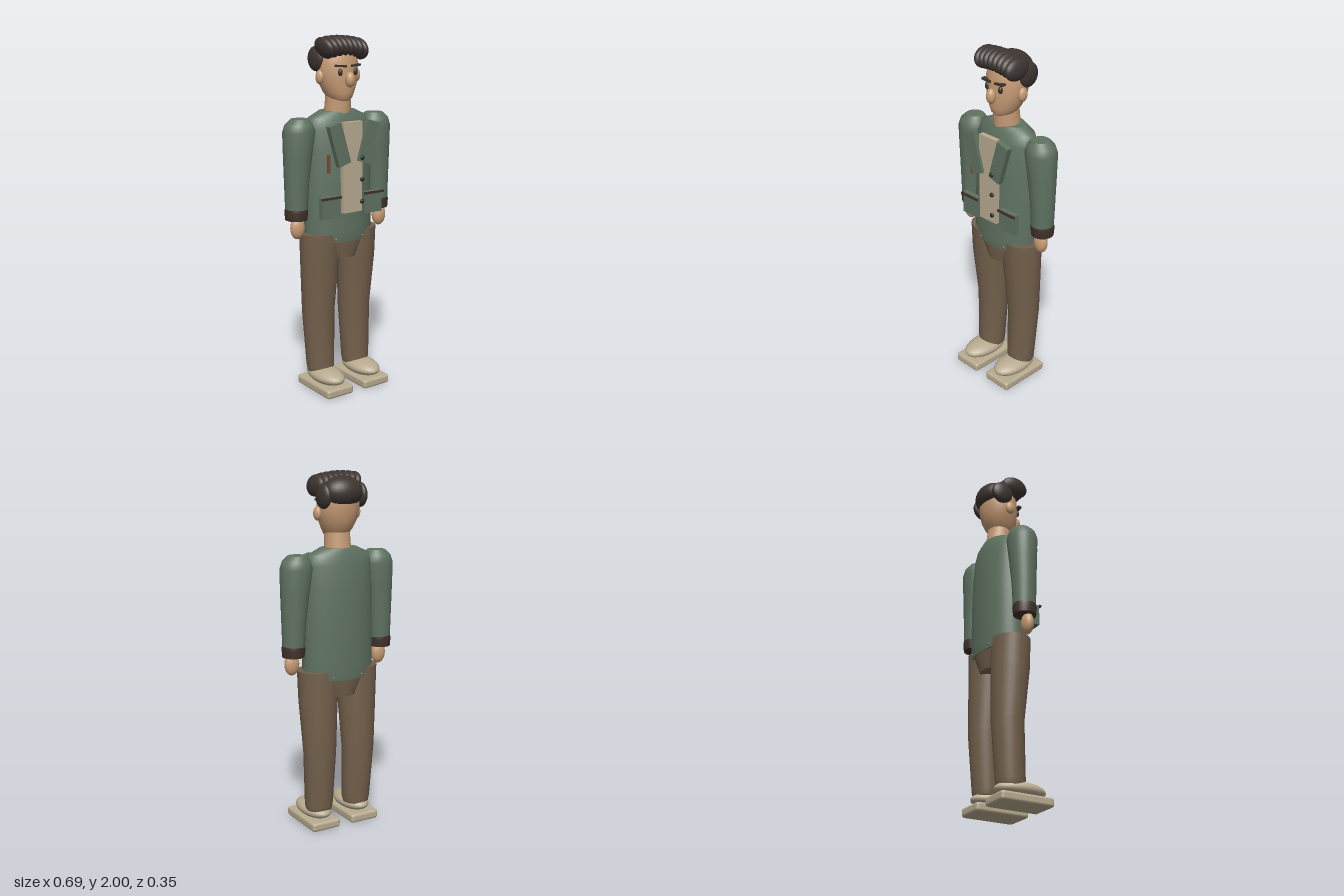
import * as THREE from 'three';
import { RoundedBoxGeometry } from 'three/addons/geometries/RoundedBoxGeometry.js';

const mat = (name, color) => {
  const m = new THREE.MeshStandardMaterial({ color });
  m.name = name;
  return m;
};

// Stack of elliptical rings [y, rx, rz, cx, cz], closed at both ends
function loft(rings, seg = 32) {
  const pos = [], idx = [];
  const addRing = ([y, rx, rz, cx = 0, cz = 0]) => {
    const start = pos.length / 3;
    for (let i = 0; i < seg; i++) {
      const a = (i / seg) * Math.PI * 2;
      pos.push(cx + Math.cos(a) * rx, y, cz + Math.sin(a) * rz);
    }
    return start;
  };
  const starts = rings.map(addRing);
  for (let r = 0; r < rings.length - 1; r++) {
    for (let i = 0; i < seg; i++) {
      const j = (i + 1) % seg, a = starts[r], b = starts[r + 1];
      idx.push(a + i, b + i, a + j, a + j, b + i, b + j);
    }
  }
  // caps have their own vertices so the rims stay sharp
  for (const top of [false, true]) {
    const ring = rings[top ? rings.length - 1 : 0];
    const s = addRing(ring), c = pos.length / 3;
    pos.push(ring[3] || 0, ring[0], ring[4] || 0);
    for (let i = 0; i < seg; i++) {
      const j = (i + 1) % seg;
      if (top) idx.push(c, s + j, s + i);
      else idx.push(c, s + i, s + j);
    }
  }
  const g = new THREE.BufferGeometry();
  g.setAttribute('position', new THREE.Float32BufferAttribute(pos, 3));
  g.setIndex(idx);
  g.computeVertexNormals();
  return g;
}

export function createModel() {
  const model = new THREE.Group();
  model.name = 'standingMan';
  const green = mat('jacket green', 0x5f7261);
  const brown = mat('trouser brown', 0x73604c);
  const cream = mat('cream', 0xb8ab90);
  const skin = mat('skin', 0xc79c75);
  const hair = mat('hair', 0x3d3530);
  const trim = mat('dark trim', 0x3f3129);
  const rust = mat('rust', 0x7d4c34);
  const black = mat('button black', 0x272826);
  const brass = mat('brass', 0x8c7a50);

  const add = (name, geo, material, x = 0, y = 0, z = 0) => {
    const m = new THREE.Mesh(geo, material);
    m.name = name;
    m.position.set(x, y, z);
    model.add(m);
    return m;
  };
  const ball = (name, material, [x, y, z], [rx, ry, rz]) =>
    add(name, new THREE.SphereGeometry(1, 28, 18).scale(rx, ry, rz), material, x, y, z);
  const box = (name, material, [x, y, z], [w, h, d]) =>
    add(name, new THREE.BoxGeometry(w, h, d), material, x, y, z);

  // Torso and pelvis
  add('jacketBody', loft([
    [0.87, 0.2, 0.122, 0, -0.038], [0.93, 0.213, 0.128, 0, -0.037], [1.2, 0.208, 0.126, 0, -0.039],
    [1.38, 0.205, 0.12, 0, -0.04], [1.5, 0.2, 0.103, 0, -0.043],
    [1.555, 0.185, 0.09, 0, -0.045], [1.59, 0.11, 0.075, 0, -0.045],
  ], 40), green);
  add('pelvis', loft([[0.77, 0.1, 0.102, 0, -0.036], [0.88, 0.18, 0.12, 0, -0.038],
    [0.93, 0.19, 0.12, 0, -0.038]]), brown);

  // Shirt front and buttons
  box('shirtFront', cream, [0, 1.29, 0.093], [0.126, 0.5, 0.03]);
  for (const y of [1.342, 1.222, 1.098]) ball('button', black, [0.05, y, 0.125], [0.013, 0.013, 0.009]);
  box('pocketPen', rust, [-0.145, 1.32, 0.085], [0.012, 0.1, 0.014]);

  for (const s of [-1, 1]) {
    // Lapel, pocket and hem rivets
    const lapel = box('lapel', green, [s * 0.096, 1.425, 0.108], [0.08, 0.232, 0.033]);
    lapel.rotation.z = -s * 0.29;
    box('pocket', green, [s * 0.144, 1.08, 0.089], [0.115, 0.12, 0.033]);
    box('pocketTrim', trim, [s * 0.144, 1.135, 0.11], [0.13, 0.012, 0.01]);
    for (const z of [0.074, -0.151]) ball('hemRivet', brass, [s * 0.09, 0.89, z], [0.006, 0.006, 0.006]);

    // Arm, cuff and hand
    add('sleeve', loft([
      [1.02, 0.059, 0.062, s * 0.277, -0.037], [1.2, 0.067, 0.068, s * 0.274, -0.037],
      [1.36, 0.08, 0.077, s * 0.265, -0.037], [1.49, 0.091, 0.085, s * 0.256, -0.037],
      [1.53, 0.078, 0.074, s * 0.255, -0.037], [1.56, 0.05, 0.05, s * 0.25, -0.037],
    ]), green);
    add('cuff', loft([[1.01, 0.06, 0.063, s * 0.278, -0.037], [1.055, 0.0645, 0.067, s * 0.277, -0.037],
      [1.073, 0.06, 0.063, s * 0.277, -0.037]]), trim);
    ball('hand', skin, [s * 0.28, 0.965, -0.022], [0.043, 0.063, 0.032]);

    // Leg and shoe
    add('trouserLeg', loft([
      [0.1, 0.074, 0.072, s * 0.123, -0.037], [0.13, 0.08, 0.079, s * 0.123, -0.037],
      [0.45, 0.095, 0.086, s * 0.125, -0.054], [0.75, 0.112, 0.103, s * 0.125, -0.037],
      [0.92, 0.118, 0.106, s * 0.125, -0.035],
    ]), brown);
    ball('shoeUpper', cream, [s * 0.125, 0.086, 0.02], [0.083, 0.046, 0.148]);
    add('shoeSole', new RoundedBoxGeometry(0.178, 0.052, 0.315, 3, 0.016), cream, s * 0.127, 0.027, 0.017);

    // Face sides
    ball('ear', skin, [s * 0.122, 1.775, -0.032], [0.02, 0.038, 0.028]);
    ball('eye', trim, [s * 0.049, 1.803, 0.058], [0.013, 0.02, 0.012]);
    const brow = box('eyebrow', hair, [s * 0.047, 1.837, 0.06], [0.062, 0.011, 0.026]);
    brow.rotation.z = s * 0.07;
    ball('sideHair', hair, [s * 0.112, 1.87, -0.08], [0.031, 0.068, 0.066]);
  }

  // Neck, head and nose
  add('neck', loft([[1.57, 0.074, 0.075, 0, -0.04], [1.64, 0.071, 0.072, 0, -0.034],
    [1.7, 0.07, 0.07, 0, -0.03]]), skin);
  add('head', loft([
    [1.645, 0.045, 0.05, 0, -0.01], [1.66, 0.066, 0.073, 0, -0.018], [1.69, 0.085, 0.089, 0, -0.028],
    [1.74, 0.107, 0.102, 0, -0.036], [1.79, 0.118, 0.107, 0, -0.041], [1.85, 0.12, 0.109, 0, -0.045],
    [1.9, 0.11, 0.1, 0, -0.047], [1.94, 0.085, 0.08, 0, -0.048], [1.96, 0.05, 0.05, 0, -0.048],
  ]), skin);
  ball('nose', skin, [0, 1.763, 0.078], [0.026, 0.041, 0.027]);

  // Hair cap and the swept front curls
  ball('hairCap', hair, [0, 1.888, -0.085], [0.118, 0.087, 0.092]);
  const curls = 8;
  for (let i = 0; i < curls; i++) {
    const t = (i / (curls - 1)) * 2 - 1;
    const y = 1.938 - 0.012 * t * t - 0.006 * t;
    const curl = ball('frontCurl', hair, [t * 0.112, y, 0.002], [0.033, 0.059, 0.082]);
    curl.rotation.set(0.12, 0, 0.2 - 0.1 * t);
  }
  return model;
}
